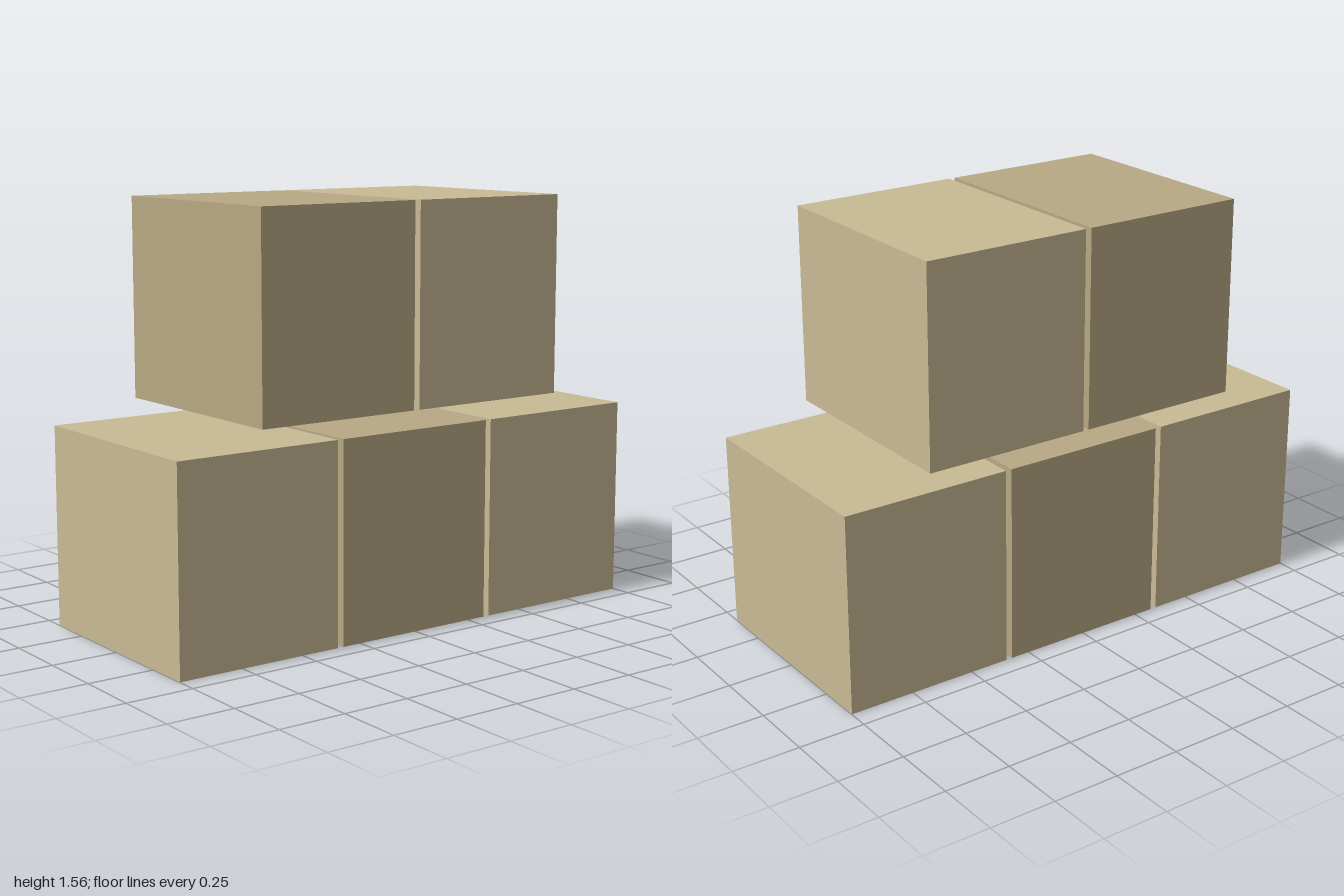
import * as THREE from 'three';

export function createModel() {
  const model = new THREE.Group();
  model.name = 'crateStack';

  const light = new THREE.MeshStandardMaterial({ color: 0xc8ba94 });
  const dark = new THREE.MeshStandardMaterial({ color: 0xb8a984 });

  const width = 0.65, height = 0.745, depth = 0.84;
  const pitch = 0.674; // spacing between neighbouring crates
  const box = new THREE.BoxGeometry(width, height, depth);

  // Rows from the ground up, each listing its crates from -x to +x
  const rows = [
    { name: 'bottomCrate', base: 0, materials: [light, dark, light] },
    { name: 'topCrate', base: 0.814, materials: [dark, light] },
  ];

  for (const { name, base, materials } of rows) {
    materials.forEach((material, i) => {
      const crate = new THREE.Mesh(box, material);
      crate.name = `${name}${i + 1}`;
      crate.position.set((i - (materials.length - 1) / 2) * pitch, base + height / 2, 0);
      model.add(crate);
    });
  }

  return model;
}
